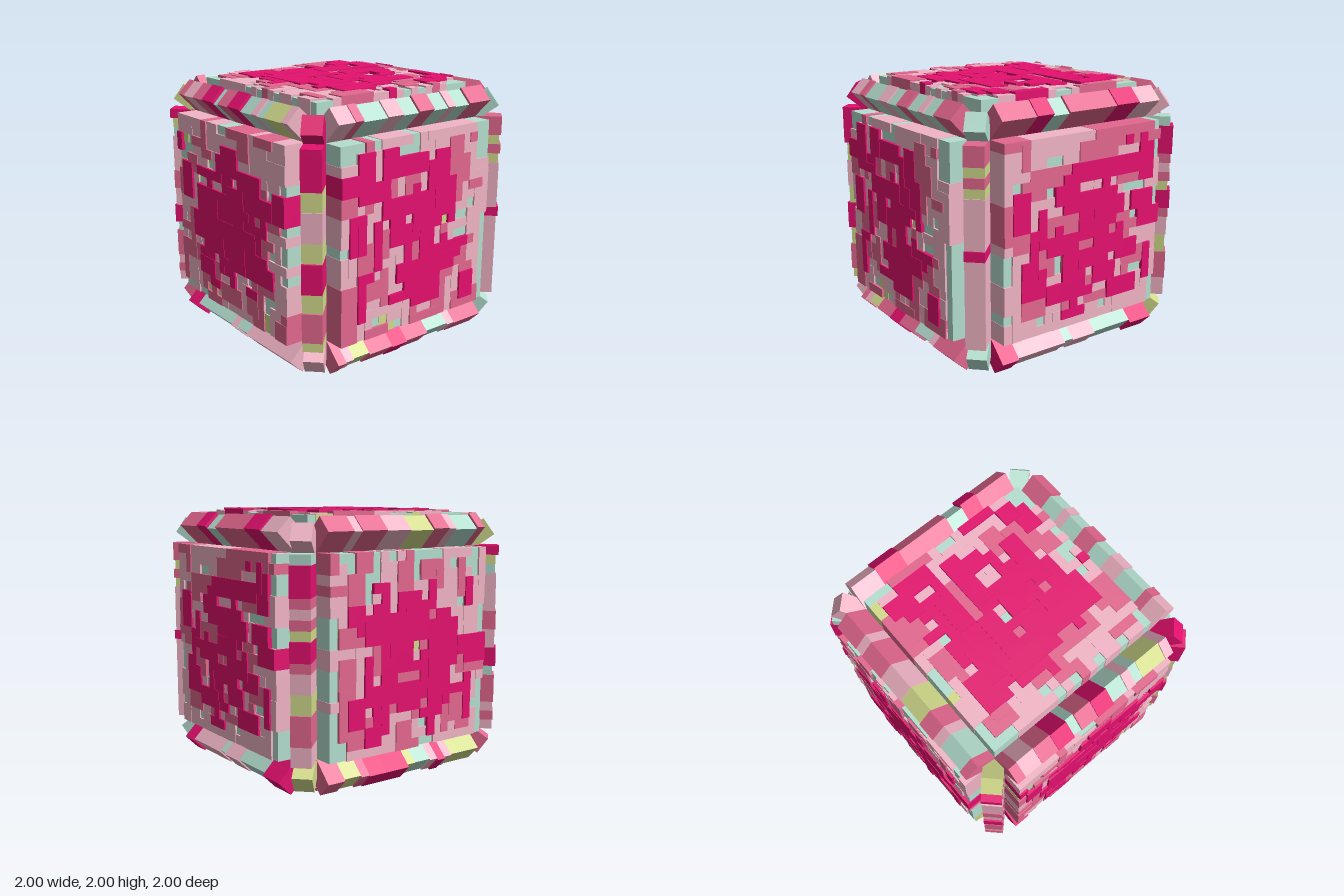
import * as THREE from 'three';
import { mergeGeometries } from 'three/addons/utils/BufferGeometryUtils.js';

const CELLS = 20, HALF = 0.72, CELL = (2 * HALF) / CELLS;

// Shades from lowest to highest layer: relief height on faces, reach of edge bars
const SHADES = [
  { name: 'mint', color: 0xb5dfd0, face: 0.968, edge: 1.275 },
  { name: 'lime', color: 0xd3dc8c, face: 0.972, edge: 1.278 },
  { name: 'palePink', color: 0xf2b5c6, face: 0.979, edge: 1.286 },
  { name: 'rose', color: 0xe4688f, face: 0.987, edge: 1.292 },
  { name: 'magenta', color: 0xe5106f, face: 0.996, edge: 1.3 },
];
const MATERIALS = SHADES.map((s) => new THREE.MeshStandardMaterial({ color: s.color, flatShading: true }));

// Small seeded random generator
function seeded(seed) {
  let s = seed;
  return () => {
    s = (s + 0x6d2b79f5) | 0;
    let t = Math.imul(s ^ (s >>> 15), 1 | s);
    t = (t + Math.imul(t ^ (t >>> 7), 61 | t)) ^ t;
    return ((t ^ (t >>> 14)) >>> 0) / 4294967296;
  };
}

// Box given by its footprint and its z range
function block(x0, x1, y0, y1, z0, z1) {
  return new THREE.BoxGeometry(x1 - x0, y1 - y0, z1 - z0)
    .translate((x0 + x1) / 2, (y0 + y1) / 2, (z0 + z1) / 2);
}

// One mesh per shade, gathered in a named group
function groupByShade(name, buckets) {
  const group = new THREE.Group();
  group.name = name;
  buckets.forEach((list, i) => {
    if (!list.length) return;
    const mesh = new THREE.Mesh(mergeGeometries(list), MATERIALS[i]);
    mesh.name = SHADES[i].name + 'Blocks';
    group.add(mesh);
  });
  return group;
}

// Turns local z to the outward direction and local x to the given side direction
function orient(group, side, out) {
  const z = out.clone().normalize();
  const x = side.clone().normalize();
  const y = new THREE.Vector3().crossVectors(z, x);
  group.quaternion.setFromRotationMatrix(new THREE.Matrix4().makeBasis(x, y, z));
  return group;
}

// Square face: a base slab with layers of overlapping plates on a cell grid
function facePanel(name, seed) {
  const rnd = seeded(seed);
  const buckets = SHADES.map(() => []);
  const inset = (layer) => 0.0015 * (SHADES.length - 1 - layer);
  const b = HALF - inset(0);
  buckets[0].push(block(-b, b, -b, b, 0.7, SHADES[0].face));

  const counts = [0, 14, 150, 50, 62];
  counts.forEach((count, layer) => {
    for (let i = 0; i < count; i++) {
      const w = 1 + Math.floor(rnd() * 4);
      const h = 1 + Math.floor(rnd() * (w > 2 ? 2 : 4));
      // the tallest plates gather towards the middle
      const pick = () => (layer === 4 ? 0.65 * rnd() + 0.35 * rnd() : rnd());
      const cx = Math.floor(pick() * (CELLS - w + 1));
      const cy = Math.floor(pick() * (CELLS - h + 1));
      const lim = HALF - inset(layer);
      const clip = (v) => THREE.MathUtils.clamp(v * CELL - HALF, -lim, lim);
      const top = SHADES[layer].face + 0.004 * Math.floor(rnd() * 2);
      buckets[layer].push(block(clip(cx), clip(cx + w), clip(cy), clip(cy + h), 0.7, top));
    }
  });
  return groupByShade(name, buckets);
}

// Edge bar: a row of blocks of varied length, two cells wide
function edgeBar(name, seed) {
  const rnd = seeded(seed);
  const buckets = SHADES.map(() => []);
  const odds = [0, 0, 0, 1, 2, 2, 2, 2, 3, 3, 4, 4];
  let start = 0;
  while (start < CELLS) {
    const end = Math.min(CELLS, start + 1 + Math.floor(rnd() * 3));
    const i = odds[Math.floor(rnd() * odds.length)];
    buckets[i].push(block(start * CELL - HALF, end * CELL - HALF, -CELL, CELL, 0.95, SHADES[i].edge));
    start = end;
  }
  return groupByShade(name, buckets);
}

export function createModel() {
  const model = new THREE.Group();
  model.name = 'blockyCube';
  const body = new THREE.Group();
  body.name = 'cubeBody';
  body.position.y = 1;
  model.add(body);

  const axes = [new THREE.Vector3(1, 0, 0), new THREE.Vector3(0, 1, 0), new THREE.Vector3(0, 0, 1)];
  const faceNames = [['leftFace', 'rightFace'], ['topFace', 'bottomFace'], ['frontFace', 'backFace']];
  const edgeNames = ['sideToSideEdge', 'uprightEdge', 'frontToBackEdge'];

  axes.forEach((axis, a) => {
    const p = axes[(a + 1) % 3], q = axes[(a + 2) % 3];
    // Two opposite faces
    [1, -1].forEach((s, k) => {
      body.add(orient(facePanel(faceNames[a][k], 11 + a * 2 + k), p, axis.clone().multiplyScalar(s)));
    });
    // Four parallel edges, tilted 45 degrees
    [[1, 1], [1, -1], [-1, 1], [-1, -1]].forEach(([s, t], k) => {
      const out = p.clone().multiplyScalar(s).addScaledVector(q, t);
      body.add(orient(edgeBar(edgeNames[a], 101 + a * 4 + k), axis, out));
    });
  });

  // Corner pegs along the diagonals: x, y, z signs and shade
  [
    [1, 1, 1, 4], [-1, 1, 1, 1], [1, -1, 1, 2], [-1, -1, 1, 3],
    [1, 1, -1, 0], [-1, 1, -1, 2], [1, -1, -1, 0], [-1, -1, -1, 1],
  ].forEach(([x, y, z, shade]) => {
    const peg = new THREE.Mesh(block(-CELL, CELL, -CELL, CELL, 1.1, 1.495), MATERIALS[shade]);
    peg.name = 'cornerPeg';
    body.add(orient(peg, new THREE.Vector3(z, 0, -x), new THREE.Vector3(x, y, z)));
  });

  return model;
}
